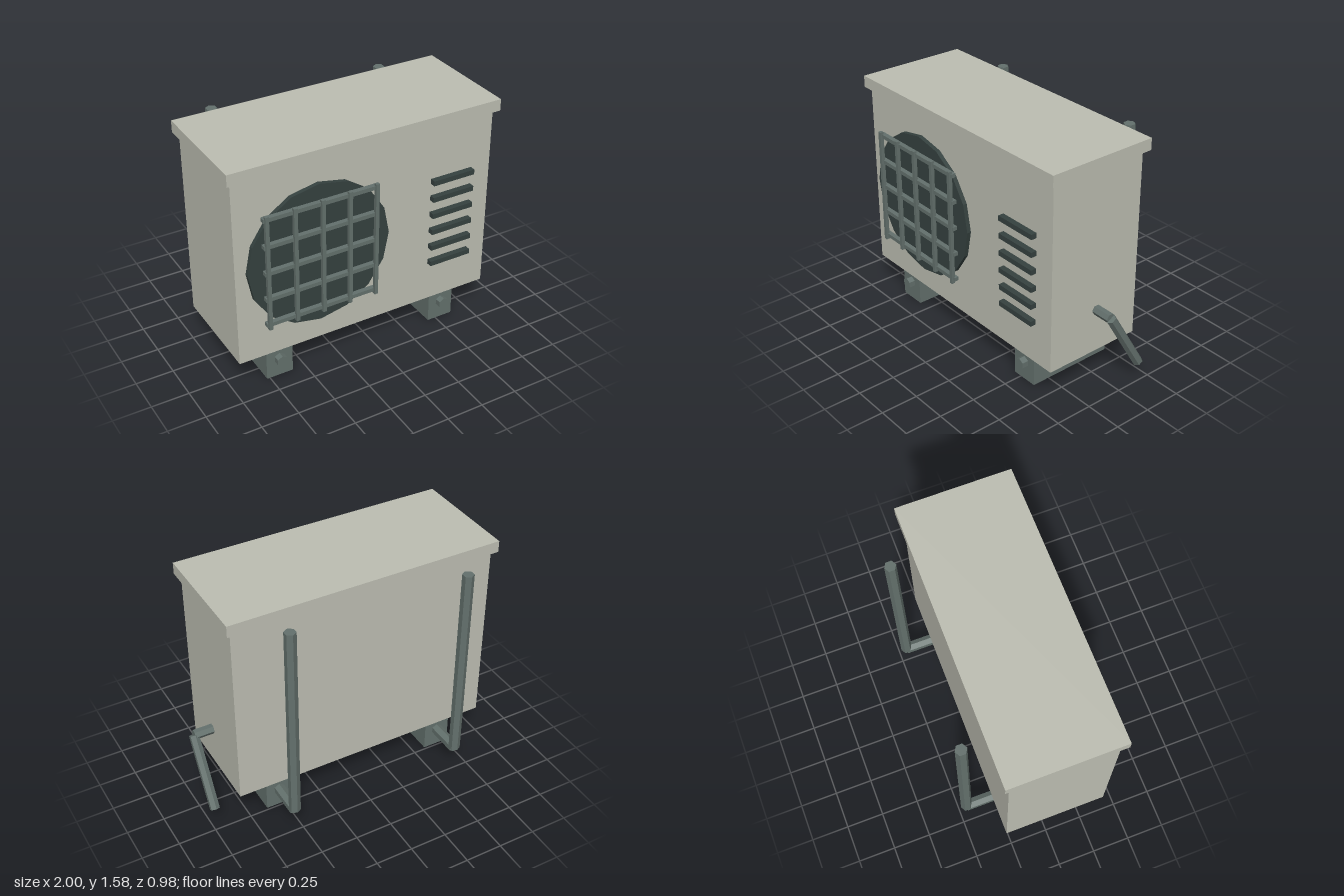
import * as THREE from 'three';

export function createModel() {
  const model = new THREE.Group();
  const material = (color) => new THREE.MeshStandardMaterial({ color, flatShading: true });
  const casing = material(0xbcbdb1);
  const dark = material(0x35413f);
  const metal = material(0x63706c);

  function add(name, geometry, mat, parent = model) {
    const mesh = new THREE.Mesh(geometry, mat);
    mesh.name = name;
    parent.add(mesh);
    return mesh;
  }

  // Box given by its lower and upper corners
  function box(name, a, b, mat, parent) {
    const lo = new THREE.Vector3(...a), hi = new THREE.Vector3(...b);
    const size = hi.clone().sub(lo);
    add(name, new THREE.BoxGeometry(size.x, size.y, size.z), mat, parent)
      .position.copy(lo).add(hi).multiplyScalar(0.5);
  }

  // Six-sided pipe between two points
  function pipe(name, a, b, radius, parent) {
    const from = new THREE.Vector3(...a), to = new THREE.Vector3(...b);
    const dir = to.clone().sub(from);
    const mesh = add(name, new THREE.CylinderGeometry(radius, radius, dir.length(), 6), metal, parent);
    mesh.position.copy(from).add(to).multiplyScalar(0.5);
    mesh.quaternion.setFromUnitVectors(new THREE.Vector3(0, 1, 0), dir.normalize());
  }

  function group(name) {
    const g = new THREE.Group();
    g.name = name;
    model.add(g);
    return g;
  }

  // Casing and overhanging lid
  box('body', [-0.97, 0.23, -0.275], [0.825, 1.5, 0.413], casing);
  box('lid', [-1, 1.5, -0.31], [0.857, 1.578, 0.446], casing);

  // Fan opening, a sixteen-sided disc
  const fanX = -0.417, fanY = 0.868;
  const disc = add('fanDisc', new THREE.CylinderGeometry(0.483, 0.483, 0.03, 16), dark);
  disc.rotation.x = Math.PI / 2;
  disc.position.set(fanX, fanY, 0.426);

  // Fan guard of crossed bars
  const guard = group('fanGuard');
  for (let i = -2; i <= 2; i++) {
    const x = fanX + i * 0.184, y = fanY + i * 0.184;
    box('guardUpright', [x - 0.012, fanY - 0.397, 0.469], [x + 0.012, fanY + 0.397, 0.493], metal, guard);
    box('guardCrossbar', [fanX - 0.388, y - 0.013, 0.448], [fanX + 0.388, y + 0.013, 0.48], metal, guard);
  }

  // Vent slats
  const vents = group('vents');
  for (let i = 0; i < 6; i++) {
    const y = 0.523 + i * 0.119;
    box('ventSlat', [0.385, y - 0.017, 0.405], [0.685, y + 0.017, 0.452], dark, vents);
  }

  // Feet, each with a pipe running through it and rising behind the casing
  for (const [side, x] of [['right', -0.678], ['left', 0.533]]) {
    const foot = group(side + 'Foot');
    box('footBlock', [x - 0.0915, 0, -0.235], [x + 0.0915, 0.217, 0.37], metal, foot);
    pipe('throughPipe', [x, 0.133, 0.413], [x, 0.133, -0.452], 0.038, foot);
    pipe('risingPipe', [x, 0.133, -0.452], [x, 1.517, -0.452], 0.038, foot);
  }

  // Bent side pipe
  const drain = group('sidePipe');
  pipe('sidePipeStub', [0.84, 0.545, 0.066], [0.968, 0.545, 0.066], 0.033, drain);
  pipe('sidePipeSlope', [0.968, 0.545, 0.066], [0.968, 0.118, -0.187], 0.033, drain);

  return model;
}
